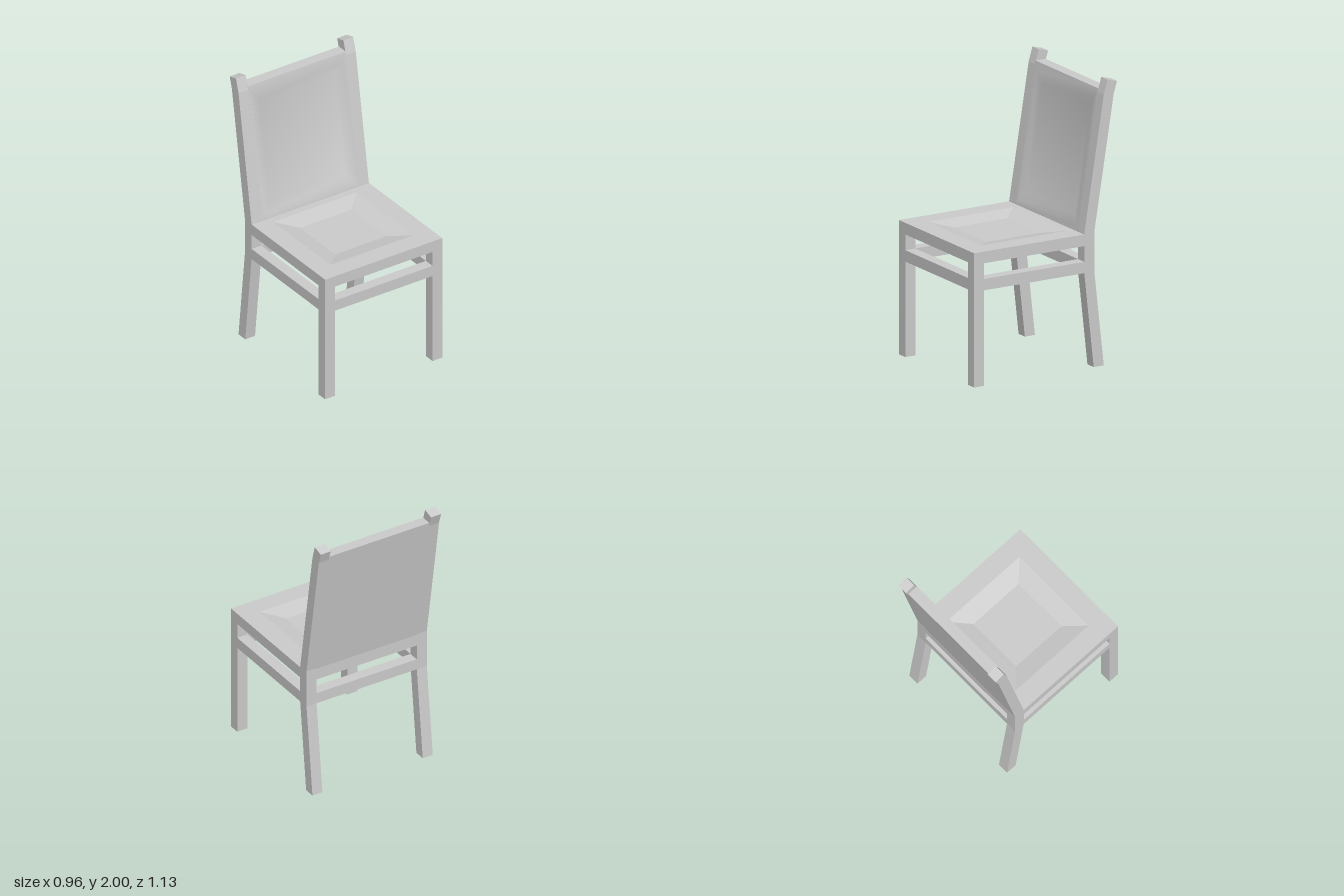
import * as THREE from 'three';
import { toCreasedNormals } from 'three/addons/utils/BufferGeometryUtils.js';

const T = 0.08;        // timber thickness
const OUT = 0.48;      // half width of the chair
const IN = OUT - T;    // inner side of the legs
const FRONT = 0.57;    // front face of the front legs
const REAR = -0.305;   // front face of the rear posts at seat height

// Closed solid through rectangular rings [halfWidth, a0, a1, h]; place() maps (x, a, h) to space.
function loft(rings, place) {
  const pos = [];
  const corners = rings.map(([w, a0, a1, h]) =>
    [[-w, a0], [w, a0], [w, a1], [-w, a1]].map(([x, a]) => place(x, a, h)));
  const quad = (a, b, c, d) => [a, b, c, a, c, d].forEach((p) => pos.push(...p));
  for (let i = 0; i < corners.length - 1; i++) {
    for (let k = 0; k < 4; k++) {
      const n = (k + 1) % 4;
      quad(corners[i][k], corners[i][n], corners[i + 1][n], corners[i + 1][k]);
    }
  }
  const first = corners[0], last = corners[corners.length - 1];
  quad(first[3], first[2], first[1], first[0]);
  quad(...last);
  const geometry = new THREE.BufferGeometry();
  geometry.setAttribute('position', new THREE.Float32BufferAttribute(pos, 3));
  geometry.computeVertexNormals();
  return geometry;
}

export function createModel() {
  const group = new THREE.Group();
  const material = new THREE.MeshStandardMaterial({ color: 0xcccccc });

  const add = (name, geometry) => {
    const mesh = new THREE.Mesh(geometry, material);
    mesh.name = name;
    group.add(mesh);
    return mesh;
  };
  // Box given by its limits on each axis
  const bar = (name, x0, x1, y0, y1, z0, z1) =>
    add(name, new THREE.BoxGeometry(x1 - x0, y1 - y0, z1 - z0))
      .position.set((x0 + x1) / 2, (y0 + y1) / 2, (z0 + z1) / 2);

  // Rear post side profile as (z, y): splayed leg, upright middle, leaning back, kinked tip
  const profile = [
    [-0.38, 0], [REAR, 0.67], [REAR, 0.945], [-0.46, 1.9], [-0.49, 2],
    [-0.565, 1.98], [-0.54, 1.9], [-0.385, 0.95], [-0.385, 0.67], [-0.46, 0],
  ];
  const postShape = new THREE.Shape(profile.map(([z, y]) => new THREE.Vector2(-z, y)));

  for (const [side, x0] of [['left', IN], ['right', -OUT]]) {
    const post = new THREE.ExtrudeGeometry(postShape, { depth: T, bevelEnabled: false });
    post.rotateY(Math.PI / 2).translate(x0, 0, 0);
    add(side + 'RearPost', post);
    bar(side + 'FrontLeg', x0, x0 + T, 0, 0.86, FRONT - T, FRONT);
    bar(side + 'Stretcher', x0, x0 + T, 0.67, 0.75, REAR, FRONT - T);
  }
  bar('frontStretcher', -IN, IN, 0.67, 0.75, FRONT - T, FRONT);
  bar('rearStretcher', -IN, IN, 0.67, 0.75, REAR - T, REAR);
  bar('rearRail', -IN, IN, 0.86, 0.945, REAR - T, REAR);

  // Seat: hollow underside, square rim, sloping dish on top (a runs towards the back)
  add('seat', loft([
    [IN, -FRONT + T, -REAR, 0.885],
    [IN, -FRONT + T, -REAR, 0.86],
    [OUT, -FRONT, 0.34, 0.86],
    [OUT, -FRONT, 0.34, 0.942],
    [0.34, -0.43, 0.25, 0.942],
    [0.21, -0.3, 0.12, 0.915],
  ], (x, a, h) => [x, h, -a]));

  // Leaning back panel with a shallow, softly shaded hollow
  const lean = (y) => REAR - 0.162 * (y - 0.945);
  const panel = loft([
    [IN, 0.945, 1.925, -T],
    [IN, 0.945, 1.925, 0],
    [0.365, 0.98, 1.86, 0],
    [0.31, 1.04, 1.79, -0.02],
  ], (x, y, h) => [x, y, lean(y) + h]);
  add('backPanel', toCreasedNormals(panel, 0.6));

  return group;
}
